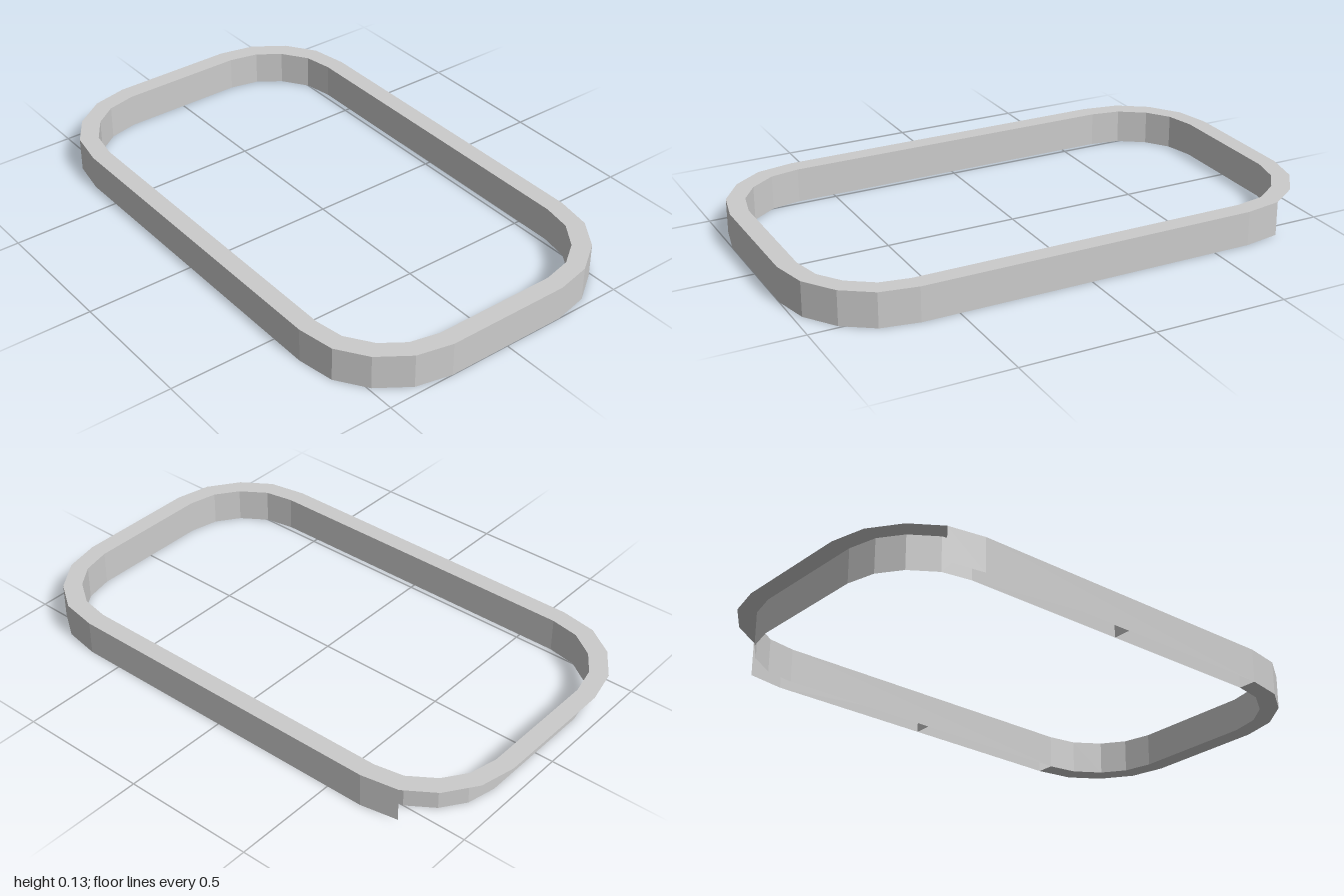
import * as THREE from 'three';

const HEIGHT = 0.13;

// One rounded corner, from the short side round to the long side, as [x, z]
const OUTER = [[1, 0.24], [0.97, 0.375], [0.89, 0.49], [0.78, 0.565], [0.64, 0.59]];
const INNER = [[0.93, 0.24], [0.905, 0.35], [0.845, 0.435], [0.75, 0.5], [0.64, 0.52]];

// Mirror a corner into a closed loop: +x+z, -x+z, -x-z, +x-z
function loop(corner, y) {
  const back = [...corner].reverse();
  const place = (list, sx, sz) => list.map(([x, z]) => new THREE.Vector3(sx * x, y, sz * z));
  return [...place(corner, 1, 1), ...place(back, -1, 1), ...place(corner, -1, -1), ...place(back, 1, -1)];
}

export function createModel() {
  const group = new THREE.Group();
  const material = new THREE.MeshStandardMaterial({
    color: 0xcccccc, flatShading: true, side: THREE.DoubleSide,
  });

  // Quad strip between two loops, from loop index start to end
  function strip(name, p, q, start = 0, end = p.length) {
    const points = [];
    const n = p.length;
    for (let i = start; i < end; i++) {
      const a = i % n, b = (i + 1) % n;
      points.push(p[a], q[a], q[b], p[a], q[b], p[b]);
    }
    const geometry = new THREE.BufferGeometry().setFromPoints(points);
    geometry.computeVertexNormals();
    const mesh = new THREE.Mesh(geometry, material);
    mesh.name = name;
    group.add(mesh);
  }

  const outerTop = loop(OUTER, HEIGHT), outerBottom = loop(OUTER, 0);
  const innerTop = loop(INNER, HEIGHT), innerBottom = loop(INNER, 0);

  strip('topRim', outerTop, innerTop);
  strip('innerWall', innerTop, innerBottom);
  // The outer wall is open round the -x end
  strip('outerWall', outerBottom, outerTop, 13, 26);
  // The underside is closed only round the +x end
  strip('bottomRim', innerBottom, outerBottom, 15, 24);

  // Thin ribs across the hollow channel at the middle of both long sides
  for (const side of [1, -1]) {
    const rib = new THREE.Mesh(new THREE.PlaneGeometry(0.07, HEIGHT), material);
    rib.name = side > 0 ? 'frontRib' : 'backRib';
    rib.rotation.y = Math.PI / 2;
    rib.position.set(0, HEIGHT / 2, side * 0.555);
    group.add(rib);
  }
  return group;
}
